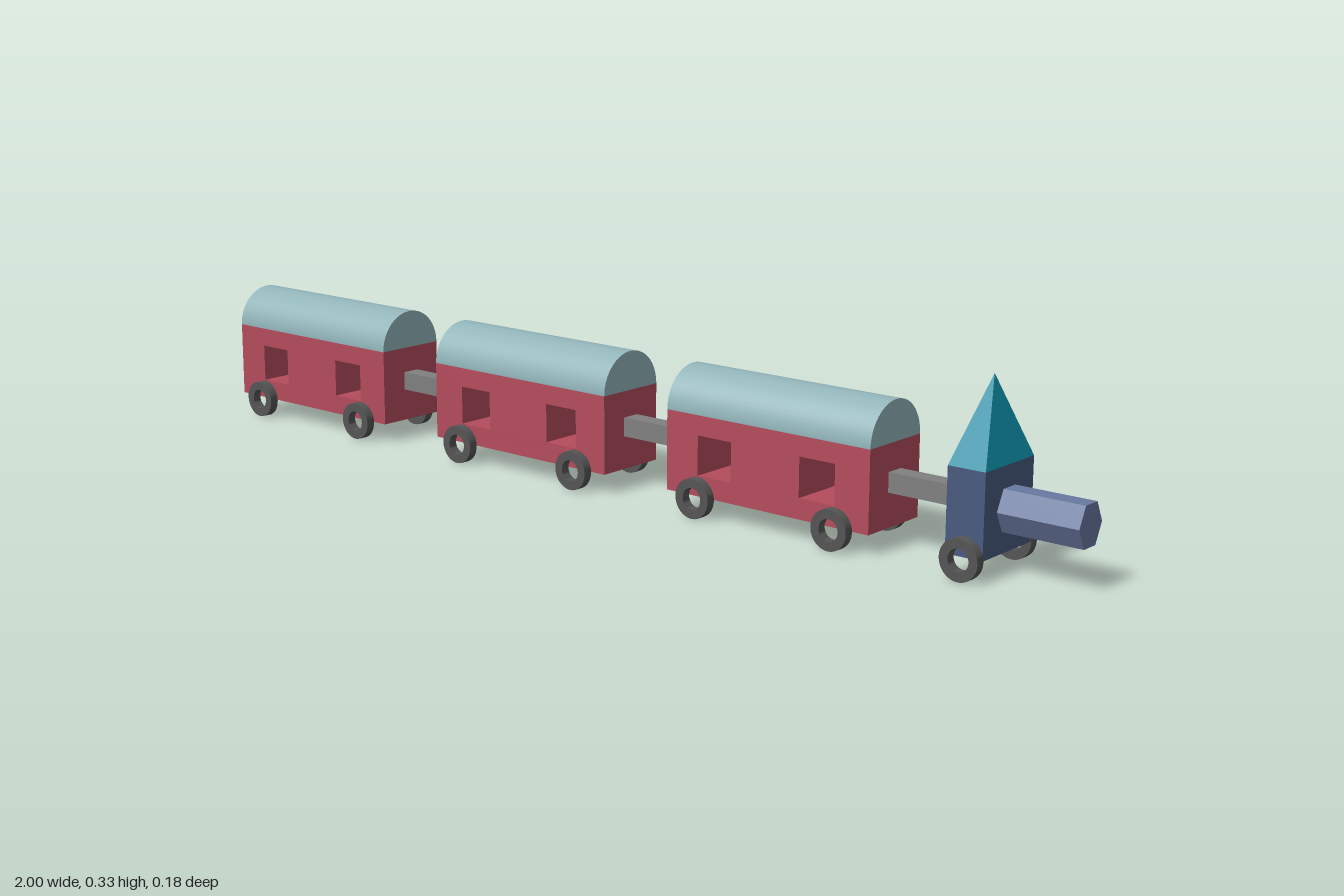
import * as THREE from 'three';
import { toCreasedNormals } from 'three/addons/utils/BufferGeometryUtils.js';

const material = (color, flatShading = false) => new THREE.MeshStandardMaterial({ color, flatShading });
const red = material(0xb44c5c);
const paleTeal = material(0x92b5ba);
const navy = material(0x4a5b80);
const slate = material(0x6878a0, true);
const teal = material(0x0f8ea6, true);
const grey = material(0x808080);
const dark = material(0x555555);

const HALF = 0.074;     // half width of the train
const FLOOR = 0.038;    // underside of the bodies, also the axle height
const EAVES = 0.187;    // top of the walls
const CAR = 0.441;      // carriage length
const PITCH = 0.592;    // distance from one carriage to the next
const ENGINE = [0.777, 0.849];

function add(parent, name, geometry, mat, x = 0, y = 0, z = 0) {
  const mesh = new THREE.Mesh(geometry, mat);
  mesh.name = name;
  mesh.position.set(x, y, z);
  parent.add(mesh);
  return mesh;
}

function rectangle(PathType, x0, y0, x1, y1) {
  return new PathType([[x0, y0], [x1, y0], [x1, y1], [x0, y1]].map(p => new THREE.Vector2(...p)));
}

// Open ring wheel, 0.018 thick
function wheelGeometry() {
  const ring = new THREE.Shape().absarc(0, 0, 0.037, 0, Math.PI * 2);
  ring.holes.push(new THREE.Path().absarc(0, 0, 0.02, 0, Math.PI * 2, true));
  const geometry = new THREE.ExtrudeGeometry(ring, { depth: 0.018, bevelEnabled: false, curveSegments: 16 });
  return toCreasedNormals(geometry, 0.6);
}

function addWheelPair(parent, geometry, x) {
  add(parent, 'leftSideWheel', geometry, dark, x, 0.037, HALF);
  add(parent, 'rightSideWheel', geometry, dark, x, 0.037, -HALF - 0.018);
}

function createCarriage(wheel) {
  const car = new THREE.Group();
  car.name = 'carriage';

  // Solid body with windows cut right through
  const side = rectangle(THREE.Shape, 0, FLOOR, CAR, EAVES);
  for (const x of [0.071, 0.295]) side.holes.push(rectangle(THREE.Path, x, 0.076, x + 0.075, 0.15));
  const body = new THREE.ExtrudeGeometry(side, { depth: HALF * 2, bevelEnabled: false });
  add(car, 'body', body, red, 0, 0, -HALF);

  // Half-round roof
  const roof = new THREE.CylinderGeometry(HALF, HALF, CAR, 32, 1, false, 0, Math.PI).rotateZ(Math.PI / 2);
  add(car, 'roof', roof, paleTeal, CAR / 2, EAVES, 0);

  for (const x of [0.072, 0.371]) addWheelPair(car, wheel, x);
  return car;
}

function createEngine(wheel) {
  const engine = new THREE.Group();
  engine.name = 'engine';
  const length = ENGINE[1] - ENGINE[0];
  const x = (ENGINE[0] + ENGINE[1]) / 2;
  add(engine, 'cab', new THREE.BoxGeometry(length, EAVES - FLOOR, HALF * 2), navy, x, (EAVES + FLOOR) / 2, 0);

  // Four-sided pointed roof
  const spire = new THREE.CylinderGeometry(0, Math.SQRT1_2, 0.146, 4, 1, false, Math.PI / 4);
  spire.scale(length, 1, HALF * 2);
  add(engine, 'pointedRoof', spire, teal, x, EAVES + 0.073, 0);

  // Hexagonal boiler, slightly taller than regular
  const boiler = new THREE.CylinderGeometry(0.036, 0.036, 1 - ENGINE[1], 6).rotateZ(Math.PI / 2);
  boiler.scale(1, 1.17, 1);
  add(engine, 'boiler', boiler, slate, (1 + ENGINE[1]) / 2, 0.112, 0);

  addWheelPair(engine, wheel, x + 0.001);
  return engine;
}

export function createModel() {
  const train = new THREE.Group();
  train.name = 'train';
  const wheel = wheelGeometry();

  for (let i = 0; i < 3; i++) {
    const start = -1 + i * PITCH;
    const car = createCarriage(wheel);
    car.position.x = start;
    train.add(car);

    // Bar to the next vehicle
    const from = start + CAR;
    const to = i < 2 ? start + PITCH : ENGINE[0];
    add(train, 'coupling', new THREE.BoxGeometry(to - from, 0.036, 0.036), grey, (from + to) / 2, 0.119, 0);
  }
  train.add(createEngine(wheel));
  return train;
}
